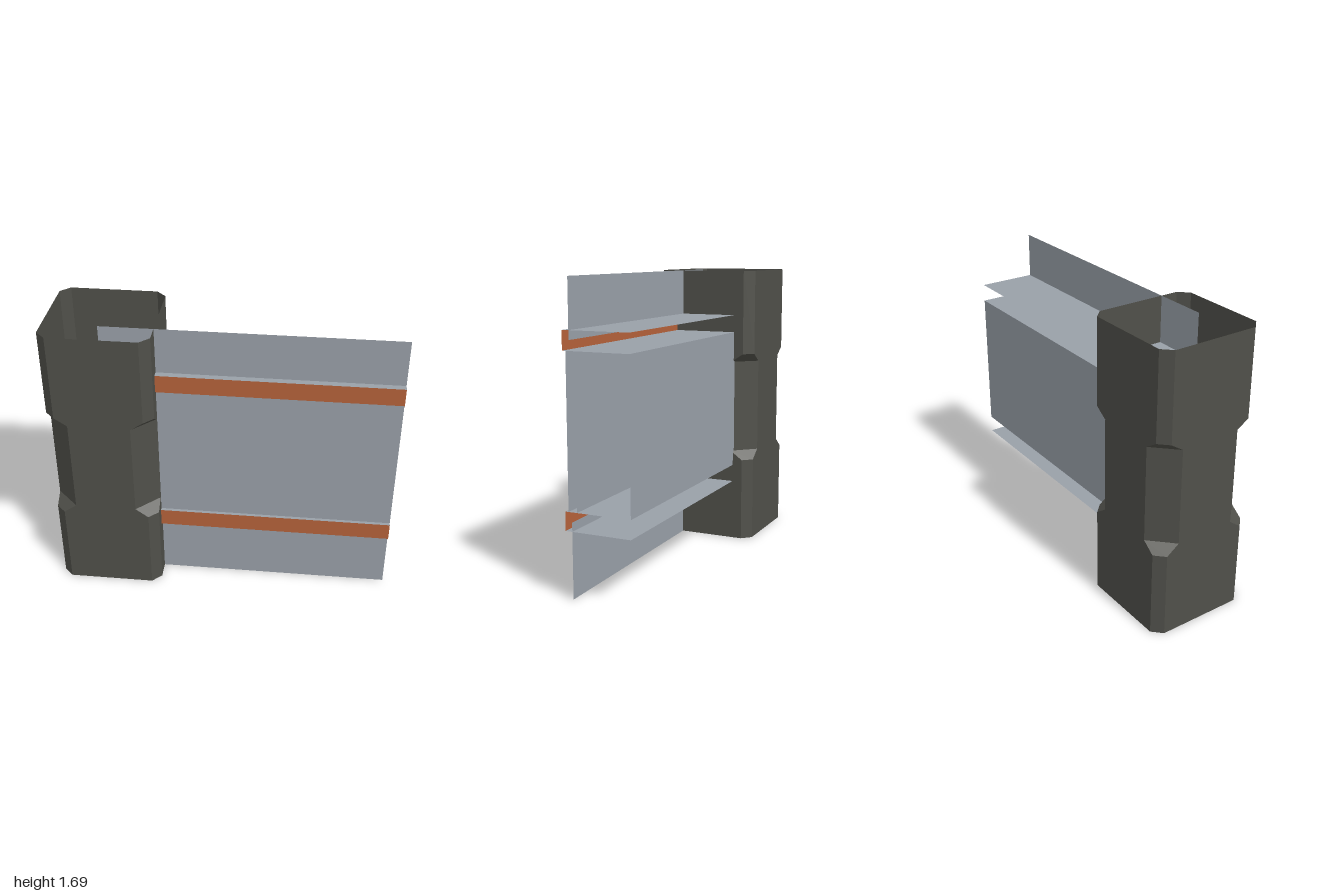
import * as THREE from 'three';

const concrete = new THREE.MeshStandardMaterial({ color: 0x50504a, side: THREE.DoubleSide, flatShading: true });
concrete.name = 'dark concrete';
const steel = new THREE.MeshStandardMaterial({ color: 0x99a0a8, side: THREE.DoubleSide });
steel.name = 'grey panel';
const rust = new THREE.MeshStandardMaterial({ color: 0xb5623a, side: THREE.DoubleSide });
rust.name = 'orange trim';

// Hollow square post whose corner chamfers deepen at mid height
function createColumn() {
  const h = 0.31;
  const levels = [[0, 0.055], [0.51, 0.055], [0.565, 0.13], [1.13, 0.13], [1.18, 0.055], [1.69, 0.055]];
  const rings = levels.map(([y, c]) => {
    const k = h - c;
    return [[h, k], [k, h], [-k, h], [-h, k], [-h, -k], [-k, -h], [k, -h], [h, -k]]
      .map(([x, z]) => [x, y, z]);
  });
  const pos = [];
  for (let r = 0; r < rings.length - 1; r++) {
    for (let i = 0; i < 8; i++) {
      const j = (i + 1) % 8;
      const a = rings[r][i], b = rings[r][j], c = rings[r + 1][j], d = rings[r + 1][i];
      pos.push(...a, ...d, ...c, ...a, ...c, ...b);
    }
  }
  const geo = new THREE.BufferGeometry();
  geo.setAttribute('position', new THREE.Float32BufferAttribute(pos, 3));
  geo.computeVertexNormals();
  const mesh = new THREE.Mesh(geo, concrete);
  mesh.name = 'column';
  mesh.position.x = -0.69;
  return mesh;
}

export function createModel() {
  const model = new THREE.Group();
  model.add(createColumn());

  // Sheets all run from the column's centre to the free end
  const x0 = -0.69, x1 = 1, length = x1 - x0, midX = (x0 + x1) / 2;
  const front = 0.19, back = -0.195;

  function upright(name, y0, y1, z, material) {
    const mesh = new THREE.Mesh(new THREE.PlaneGeometry(length, y1 - y0), material);
    mesh.name = name;
    mesh.position.set(midX, (y0 + y1) / 2, z);
    model.add(mesh);
  }

  // Horizontal flanges of the two rails
  for (const y of [0.37, 0.475, 1.315, 1.42]) {
    const mesh = new THREE.Mesh(new THREE.PlaneGeometry(length, front - back), steel);
    mesh.name = 'railFlange';
    mesh.rotation.x = -Math.PI / 2;
    mesh.position.set(midX, y, (front + back) / 2);
    model.add(mesh);
  }

  // Orange rail faces
  upright('lowerRailFace', 0.37, 0.475, front, rust);
  upright('upperRailFace', 1.315, 1.42, front, rust);

  // Outer wall sheets above and below the rails
  upright('lowerWall', 0, 0.42, 0.15, steel);
  upright('upperWall', 1.37, 1.69, 0.15, steel);

  // Double middle panel and the panel closing the back
  upright('middlePanelOuter', 0.475, 1.315, 0.17, steel);
  upright('middlePanelInner', 0.475, 1.315, 0.12, steel);
  upright('backPanel', 0.475, 1.315, back, steel);

  return model;
}
